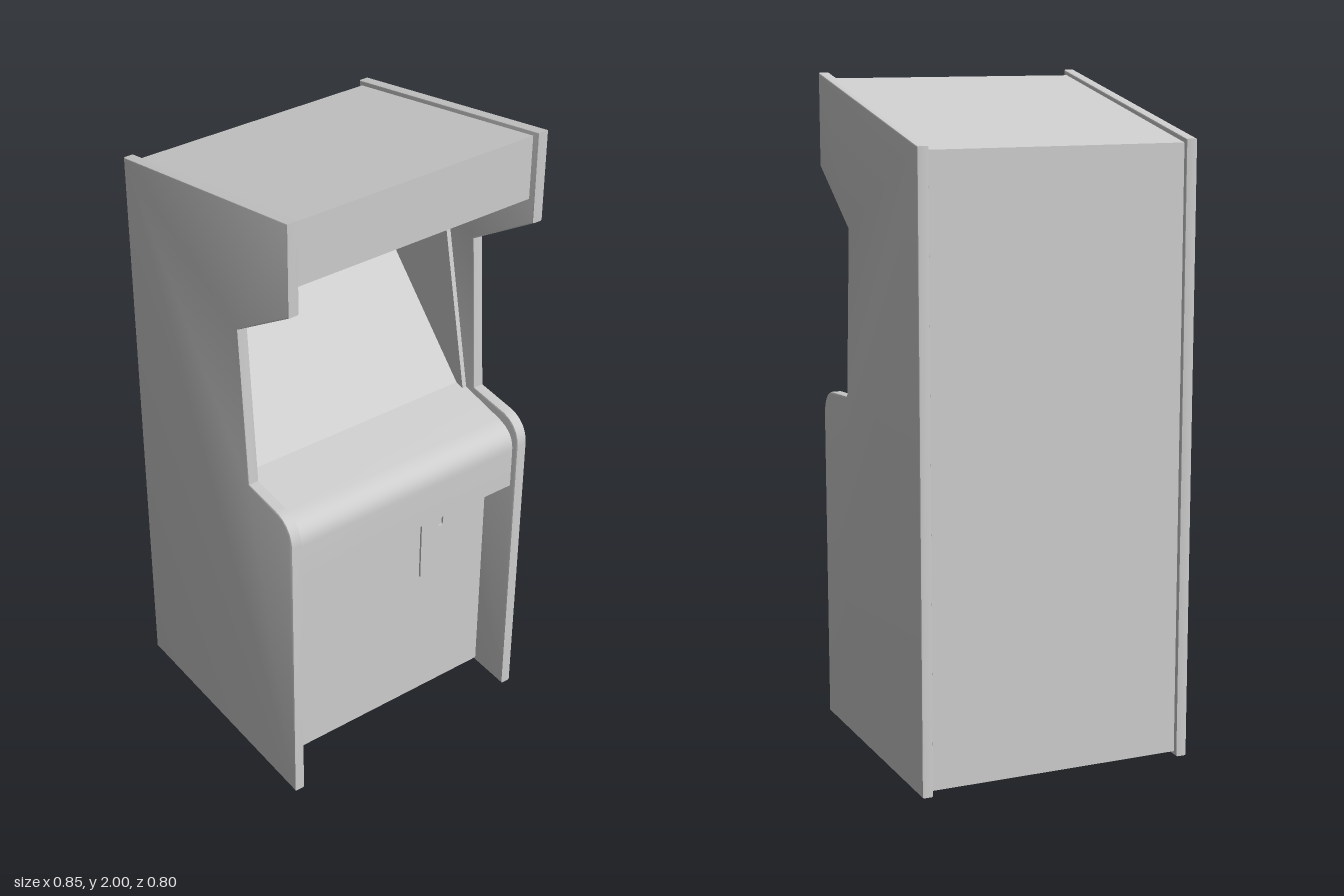
import * as THREE from 'three';
import { toCreasedNormals } from 'three/addons/utils/BufferGeometryUtils.js';

// Extrude a (z, y) side profile across x, from x0 to x1
function extrudeProfile(shape, x0, x1, bevel = 0) {
  const geo = new THREE.ExtrudeGeometry(shape, {
    depth: x1 - x0 - 2 * bevel, curveSegments: 10,
    bevelEnabled: bevel > 0, bevelSize: bevel, bevelThickness: bevel,
    bevelOffset: -bevel, bevelSegments: 2,
  });
  geo.rotateY(-Math.PI / 2);
  geo.translate(x1 - bevel, 0, 0);
  return toCreasedNormals(geo, 0.6);
}

// Rounded rectangle path centred on (cx, cy)
function roundedRect(path, cx, cy, w, h, r) {
  const x = cx - w / 2, y = cy - h / 2;
  path.moveTo(x + r, y);
  path.lineTo(x + w - r, y);
  path.absarc(x + w - r, y + r, r, -Math.PI / 2, 0);
  path.lineTo(x + w, y + h - r);
  path.absarc(x + w - r, y + h - r, r, 0, Math.PI / 2);
  path.lineTo(x + r, y + h);
  path.absarc(x + r, y + h - r, r, Math.PI / 2, Math.PI);
  path.lineTo(x, y + r);
  path.absarc(x + r, y + r, r, Math.PI, Math.PI * 1.5);
  return path;
}

// Flat outer side board
function sideShape() {
  const s = new THREE.Shape();
  s.moveTo(-0.402, 0);
  s.lineTo(0.402, 0);
  s.lineTo(0.402, 0.96);
  s.bezierCurveTo(0.4, 1.01, 0.37, 1.04, 0.32, 1.043);
  s.lineTo(0.192, 1.052);
  s.lineTo(0.156, 1.555);
  s.lineTo(0.402, 1.722);
  s.lineTo(0.402, 2);
  s.lineTo(-0.402, 1.828);
  s.closePath();
  return s;
}

// Cabinet between the boards, with or without the sunken monitor
function bodyShape(sunken) {
  const s = new THREE.Shape();
  s.moveTo(-0.387, 0.012);
  s.lineTo(0.267, 0.012);
  s.lineTo(0.267, 0.8);
  s.lineTo(0.38, 0.8);
  s.lineTo(0.38, 0.93);
  s.bezierCurveTo(0.38, 0.975, 0.36, 1.0, 0.31, 1.01); // control panel lip
  s.lineTo(0.155, 1.035);
  if (sunken) {
    s.lineTo(0.125, 1.04);
    s.lineTo(-0.25, 1.415);                            // screen
    s.lineTo(-0.02, 1.56);                             // hood over the screen
    s.quadraticCurveTo(0.025, 1.59, 0.03, 1.63);
  }
  s.lineTo(0.022, 1.67);
  s.lineTo(0.38, 1.79);                                // marquee underside
  s.lineTo(0.38, 1.983);                               // marquee front
  s.lineTo(-0.387, 1.817);
  s.closePath();
  return s;
}

export function createModel() {
  const group = new THREE.Group();
  const grey = new THREE.MeshStandardMaterial({ color: 0xcccccc });
  grey.name = 'plain grey';
  const add = (name, geo) => {
    const mesh = new THREE.Mesh(geo, grey);
    mesh.name = name;
    group.add(mesh);
  };

  // Main cabinet and the narrow bezel strips beside the screen
  add('cabinetBody', extrudeProfile(bodyShape(true), -0.375, 0.375));
  add('leftBezel', extrudeProfile(bodyShape(false), 0.375, 0.39));
  add('rightBezel', extrudeProfile(bodyShape(false), -0.39, -0.375));

  // Side boards with softly rounded edges
  add('leftSideBoard', extrudeProfile(sideShape(), 0.389, 0.423, 0.005));
  add('rightSideBoard', extrudeProfile(sideShape(), -0.423, -0.389, 0.005));

  // Coin door with its slot
  const door = roundedRect(new THREE.Shape(), 0.215, 0.61, 0.15, 0.26, 0.01);
  door.holes.push(roundedRect(new THREE.Path(), 0.213, 0.69, 0.018, 0.065, 0.008));
  const doorGeo = new THREE.ExtrudeGeometry(door, { depth: 0.009, bevelEnabled: false, curveSegments: 5 });
  doorGeo.translate(0, 0, 0.265);
  add('coinDoor', doorGeo);

  return group;
}
